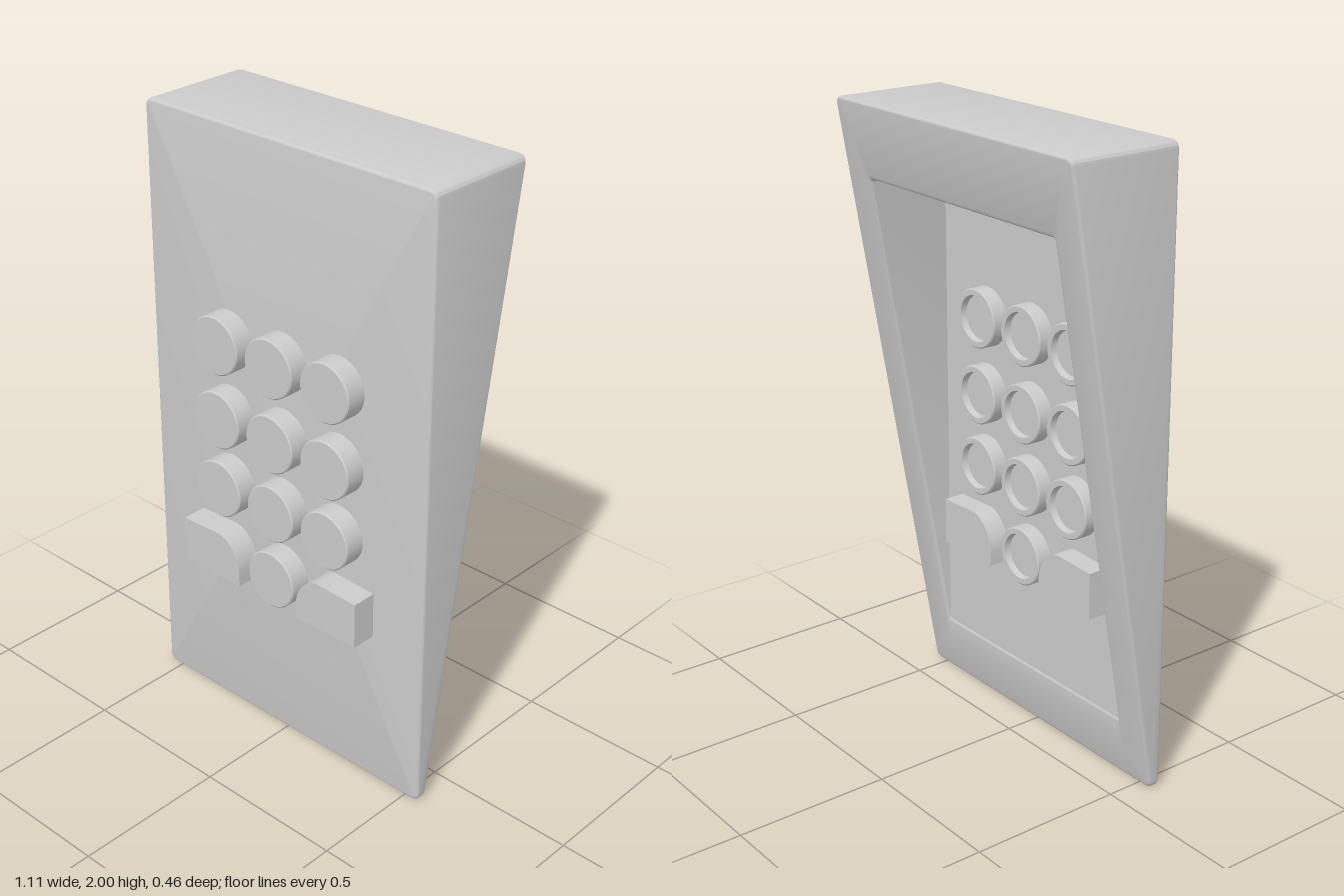
import * as THREE from 'three';
import { toCreasedNormals } from 'three/addons/utils/BufferGeometryUtils.js';

const FRONT = 0.15, FLOOR = 0.09;
const backZ = (y) => 0.113 - 0.1726 * y; // slanted back plane

// Rounded rectangle, counter-clockwise seen from the front; z(y) sets the depth
function ring(halfW, y0, y1, r, z) {
  const pts = [];
  const corners = [[halfW - r, y1 - r], [r - halfW, y1 - r], [r - halfW, y0 + r], [halfW - r, y0 + r]];
  corners.forEach(([cx, cy], k) => {
    for (let i = 0; i <= 4; i++) {
      const a = (k + i / 4) * Math.PI / 2;
      const y = cy + r * Math.sin(a);
      pts.push(new THREE.Vector3(cx + r * Math.cos(a), y, z(y)));
    }
  });
  return pts;
}

// Skin consecutive rings; a ring of equal points closes an end
function loft(rings) {
  const pos = [];
  const tri = (a, b, c) => {
    if (a.distanceTo(b) < 1e-6 || b.distanceTo(c) < 1e-6 || a.distanceTo(c) < 1e-6) return;
    for (const p of [a, b, c]) pos.push(p.x, p.y, p.z);
  };
  for (let k = 0; k < rings.length - 1; k++) {
    const a = rings[k], b = rings[k + 1], n = a.length;
    for (let i = 0; i < n; i++) {
      const j = (i + 1) % n;
      tri(a[i], b[i], b[j]);
      tri(a[i], b[j], a[j]);
    }
  }
  const g = new THREE.BufferGeometry();
  g.setAttribute('position', new THREE.Float32BufferAttribute(pos, 3));
  return toCreasedNormals(g, 0.35);
}

// Wedge shell, open at the back
function shellGeometry() {
  const outer = (inset, z) => ring(0.555 - inset, inset, 2 - inset, 0.025 - inset, z);
  const rings = [Array(20).fill(new THREE.Vector3(0, 1, FRONT))];
  const R = 0.012, steps = 4;
  for (let i = 0; i <= steps; i++) { // front edge round
    const a = i / steps * Math.PI / 2;
    rings.push(outer(R * (1 - Math.sin(a)), () => FRONT - R * (1 - Math.cos(a))));
  }
  for (let i = 0; i <= steps; i++) { // outer back edge round
    const a = i / steps * Math.PI / 2;
    rings.push(outer(R * (1 - Math.cos(a)), (y) => backZ(y) + R * (1 - Math.sin(a))));
  }
  for (let i = 0; i <= steps; i++) { // inner rim round, with a soft lower lip
    const a = i / steps * Math.PI / 2, out = 1 - Math.sin(a);
    rings.push(ring(0.437 + R * out, 0.2 - 0.1 * out, 1.757 + R * out, 0.012,
      (y) => backZ(y) + R * (1 - Math.cos(a))));
  }
  rings.push(ring(0.437, 0.2, 1.757, 0.012, () => FLOOR));
  rings.push(Array(20).fill(new THREE.Vector3(0, 1, FLOOR)));
  return loft(rings);
}

// Round key: flat front cap, recessed rear with a raised rim
function roundKeyGeometry() {
  const profile = [[0, 0.06], [0.07, 0.06], [0.074, 0.04], [0.091, 0.04], [0.095, 0.044],
    [0.095, 0.214], [0.091, 0.218], [0, 0.218]].map(([r, z]) => new THREE.Vector2(r, z));
  const g = new THREE.LatheGeometry(profile, 40);
  g.rotateX(Math.PI / 2);
  return toCreasedNormals(g, 0.5);
}

// Wide key with one rounded upper corner
function cornerKeyGeometry() {
  const s = new THREE.Shape();
  s.moveTo(0.122, 0.53);
  s.lineTo(0.362, 0.53);
  s.lineTo(0.362, 0.682);
  s.lineTo(0.21, 0.688);
  s.bezierCurveTo(0.165, 0.685, 0.122, 0.63, 0.122, 0.575);
  s.closePath();
  const g = new THREE.ExtrudeGeometry(s, { depth: 0.213, bevelEnabled: false, curveSegments: 12 });
  g.translate(0, 0, 0.02);
  return toCreasedNormals(g, 0.5);
}

export function createModel() {
  const model = new THREE.Group();
  model.name = 'keypadHandset';
  const material = new THREE.MeshStandardMaterial({ color: 0xcccccc });
  const add = (name, geometry, x = 0, y = 0) => {
    const mesh = new THREE.Mesh(geometry, material);
    mesh.name = name;
    mesh.position.set(x, y, 0);
    model.add(mesh);
    return mesh;
  };

  add('wedgeShell', shellGeometry());

  // Three rows of three round keys, one more below
  const key = roundKeyGeometry();
  for (const y of [1.327, 1.077, 0.837]) {
    for (const x of [-0.222, 0, 0.222]) add('roundKey', key, x, y);
  }
  add('roundKey', key, 0, 0.602);

  // Mirrored pair of corner keys
  const corner = cornerKeyGeometry();
  add('leftCornerKey', corner);
  const mirrored = add('rightCornerKey', corner);
  mirrored.scale.x = -1;

  return model;
}
